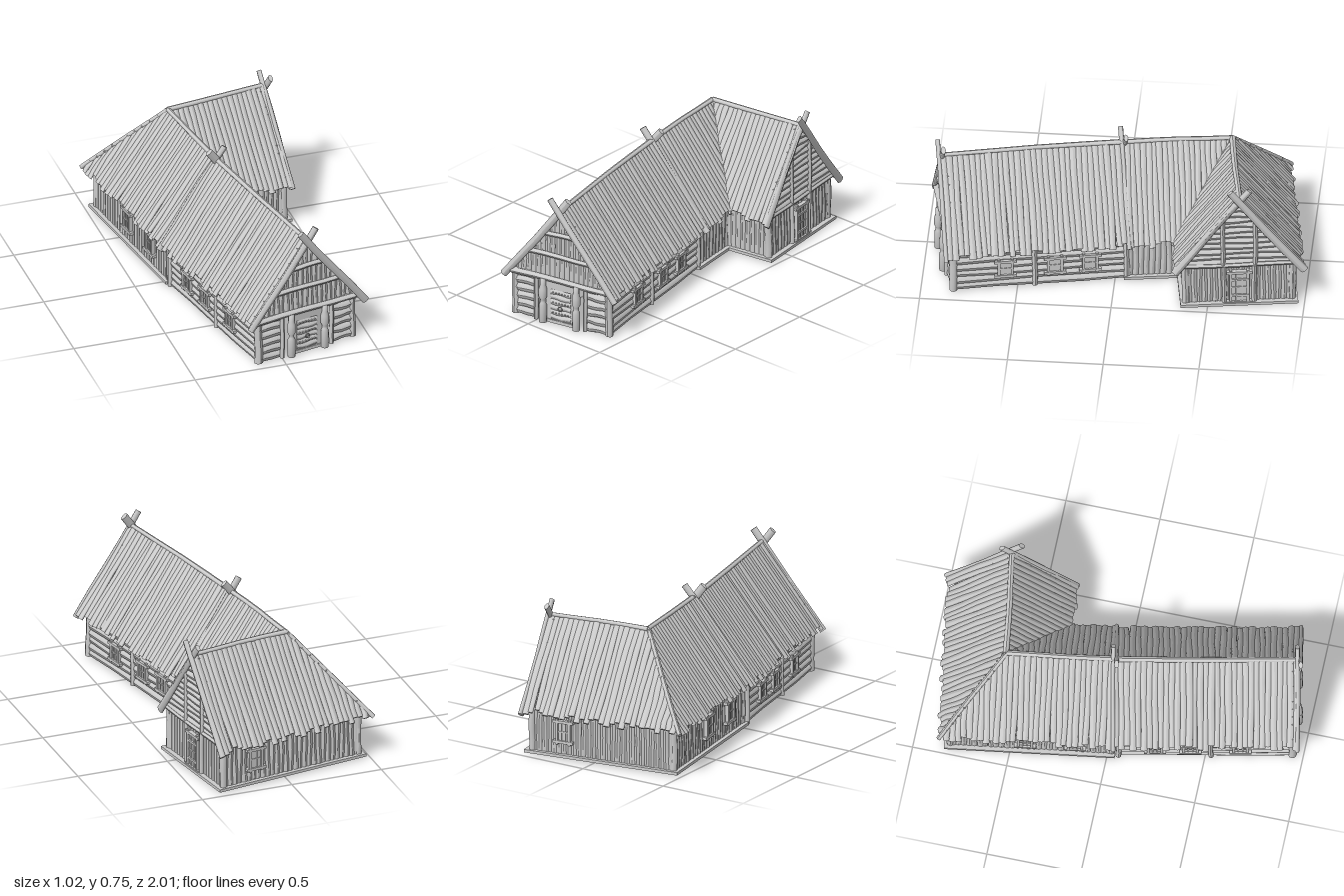
import * as THREE from 'three';
import { mergeGeometries } from 'three/addons/utils/BufferGeometryUtils.js';

const material = new THREE.MeshStandardMaterial({ color: 0xcccccc, side: THREE.DoubleSide });
const V = (x, y, z) => new THREE.Vector3(x, y, z);
const UP = V(0, 1, 0), OUT = V(0, 0, 1);
const RIDGE = 0.665, PITCH = 1.3, EAVE = 0.335, WALL = 0.275, TOP = 0.265;
const roofY = (s) => RIDGE - Math.abs(s) * PITCH;

let seed = 7;
const rand = (a, b) => {
  seed = (seed * 16807) % 2147483647;
  return a + (b - a) * (seed / 2147483647);
};

// Hewn timber from a to b: w across, t thick towards the hint, slightly bowed
function timber(a, b, w, t = w, hint = OUT, sides = 8) {
  const along = b.clone().sub(a), len = along.length();
  const g = new THREE.CylinderGeometry(rand(0.9, 1.05), rand(0.95, 1.1), len, sides, 4);
  g.scale(w / 2, 1, t / 2);
  const p = g.attributes.position, phase = rand(0, 6), amp = Math.min(0.003, w * 0.08);
  for (let i = 0; i < p.count; i++) {
    const k = Math.sin((p.getY(i) / len) * 6 + phase) * amp;
    p.setX(i, p.getX(i) + k);
    p.setZ(i, p.getZ(i) + k * 0.5);
  }
  g.computeVertexNormals();
  const y = along.normalize(), x = y.clone().cross(hint).normalize(), z = x.clone().cross(y);
  const m = new THREE.Matrix4().makeBasis(x, y, z);
  return g.applyMatrix4(m.setPosition(a.clone().add(b).multiplyScalar(0.5)));
}
const box = (w, h, d, x, y, z) => new THREE.BoxGeometry(w, h, d).translate(x, y, z);

// Group with one merged mesh per named part
function assemble(name, parts, x = 0, z = 0, turn = 0) {
  const group = new THREE.Group();
  group.name = name;
  group.position.set(x, 0, z);
  group.rotation.y = turn;
  for (const [part, geos] of Object.entries(parts)) {
    const mesh = new THREE.Mesh(mergeGeometries(geos), material);
    mesh.name = part;
    group.add(mesh);
  }
  return group;
}

// Roof boards down one slope; map(u, s, y) places them, top(u) is where each begins
function slope(u0, u1, map, top = () => 0) {
  const boards = [], n = Math.round((u1 - u0) / 0.029), step = (u1 - u0) / n;
  for (let i = 0; i < n; i++) {
    const u = u0 + (i + 0.5) * step, s0 = top(u), s1 = EAVE + rand(-0.014, 0.008);
    if (s1 - s0 < 0.02) continue;
    const lift = rand(-0.003, 0.004), skew = rand(-0.004, 0.004);
    boards.push(timber(map(u, s0, roofY(s0) + lift), map(u + skew, s1, roofY(s1) + lift),
      step * rand(1.15, 1.4), 0.018, UP));
  }
  return boards;
}

// Upright boards or lying logs of a wall facing +z
function uprights(x0, x1, y0, top) {
  const out = [], n = Math.max(1, Math.round((x1 - x0) / 0.028)), step = (x1 - x0) / n;
  for (let i = 0; i < n; i++) {
    const x = x0 + (i + 0.5) * step;
    if (top(x) - y0 > 0.01) out.push(timber(V(x, y0, 0), V(x, top(x), 0), step * 1.25, 0.024));
  }
  return out;
}
function lying(y0, y1, rows, span) {
  const out = [], step = (y1 - y0) / rows;
  for (let i = 0; i < rows; i++) {
    const y = y0 + (i + 0.5) * step, [a, b] = span(y);
    out.push(timber(V(a, y, 0), V(b, y, 0), step * 1.15, 0.036));
  }
  return out;
}

// Window frame with bars, showing on both faces of the wall
function windowFrame(x, y, w, h) {
  const out = [box(w, h, 0.042, x, y, 0)];
  for (const s of [-1, 1]) {
    out.push(box(0.014, h + 0.03, 0.06, x + s * w / 2, y, 0));
    out.push(box(w + 0.045, 0.015, 0.064, x, y + s * h / 2, 0));
    out.push(box(0.007, h, 0.05, x + s * w / 6, y, 0));
  }
  out.push(box(w, 0.007, 0.052, x, y, 0));
  return out;
}

// Crossed gable timbers
const crossed = () => [-1, 1].map((s) => timber(
  V(s * (EAVE + 0.003), 0.215, s * 0.008), V(-s * 0.052, 0.728, s * 0.008), 0.042, 0.026));

// Entrance gable with lying logs, pillars and a studded door
function entranceGable() {
  const beam = (y, half, d) => timber(V(-half, y, 0.02), V(half, y, 0.02), d);
  const parts = { wallLogs: [], cornerPosts: [], doorPosts: [], pillars: [], door: [], doorStuds: [] };
  const profile = [[0, 0], [0.02, 0], [0.021, 0.1], [0.014, 0.115], [0.014, 0.13], [0.022, 0.145],
    [0.022, 0.19], [0.015, 0.215], [0.015, 0.25], [0, 0.25]].map((p) => new THREE.Vector2(...p));
  for (const s of [-1, 1]) {
    parts.wallLogs.push(...lying(0, TOP, 6, () => [s * 0.14, s * WALL]));
    parts.cornerPosts.push(timber(V(s * 0.28, 0, 0), V(s * 0.28, 0.265, 0), 0.044));
    parts.doorPosts.push(timber(V(s * 0.147, 0, 0.02), V(s * 0.147, 0.25, 0.02), 0.024));
    parts.pillars.push(new THREE.LatheGeometry(profile, 12).translate(s * 0.1, 0, 0.033));
  }
  for (let i = 0; i < 6; i++) {
    const y = 0.034 + i * 0.029;
    parts.door.push(timber(V(-0.06, y, 0.012), V(0.06, y, 0.012), 0.034, 0.02));
    if (i % 2) for (let x = -0.045; x < 0.05; x += 0.018)
      parts.doorStuds.push(new THREE.SphereGeometry(0.0045, 6, 4).translate(x, y, 0.024));
  }
  parts.door.push(timber(V(-0.055, 0.022, 0.01), V(0.055, 0.022, 0.01), 0.02));
  parts.doorFrame = [box(0.2, 0.052, 0.026, 0, 0.222, 0.01), box(0.2, 0.018, 0.03, 0, 0.009, 0.008),
    ...[-1, 1].map((s) => box(0.03, 0.2, 0.024, s * 0.076, 0.1, 0.006))];
  parts.doorRing = [new THREE.TorusGeometry(0.012, 0.003, 6, 14).translate(0, 0.092, 0.028)];
  parts.gableBoards = uprights(-0.3, 0.3, 0.25, (x) => roofY(x) - 0.008);
  parts.gableBeams = [beam(0.25, 0.3, 0.03), beam(0.39, 0.2, 0.026), beam(0.515, 0.105, 0.026)];
  return parts;
}

// Side wing gable with upright boards, a plain door and lying logs above
function wingGable() {
  const parts = { wallBoards: uprights(-WALL, WALL, 0, () => 0.245) };
  parts.gableLogs = lying(0.245, 0.645, 12, (y) => {
    const h = (RIDGE - y) / PITCH - 0.004;
    return [-h, h];
  });
  parts.gableBeams = [timber(V(-0.31, 0.247, 0.012), V(0.31, 0.247, 0.012), 0.026)];
  parts.posts = [];
  for (const s of [-1, 1]) {
    parts.gableBeams.push(timber(V(s * 0.085, 0.25, 0.014), V(s * 0.085, 0.54, 0.014), 0.024));
    parts.posts.push(timber(V(s * 0.078, 0, 0.016), V(s * 0.078, 0.245, 0.016), 0.024));
    parts.posts.push(timber(V(s * 0.28, 0, 0), V(s * 0.28, 0.25, 0), 0.036));
  }
  parts.door = windowFrame(0, 0.11, 0.09, 0.19);
  parts.doorRails = [0.06, 0.16].map((y) => box(0.1, 0.012, 0.05, 0, y, 0.006));
  return parts;
}

export function createModel() {
  const model = new THREE.Group();
  model.name = 'logHouse';

  // Front hall
  const hallLen = 0.96;
  const hallRoof = { ridgeBeam: [timber(V(0, RIDGE + 0.004, -0.02), V(0, RIDGE + 0.004, hallLen), 0.03, 0.022, UP)], roofBoards: [] };
  for (const s of [-1, 1]) hallRoof.roofBoards.push(...slope(-0.01, hallLen, (u, d, y) => V(s * d, y, u)));
  const hall = assemble('frontHall', hallRoof, -0.048, -0.02, 0.204);
  for (const z of [0, hallLen]) hall.add(assemble('crossedTimbers', { timbers: crossed() }, 0, z));
  hall.add(assemble('entranceGable', entranceGable(), 0, 0.925));
  for (const s of [-1, 1]) {
    // Wall x runs along the hall, mirrored on the other side
    const x = (t) => -s * (t - 0.47);
    const parts = { wallLogs: lying(0, TOP + 0.01, 7, () => [-0.46, 0.46]), posts: [], windows: [] };
    for (const t of [0.02, 0.5]) parts.posts.push(timber(V(x(t), 0, 0.012), V(x(t), 0.265, 0.012), 0.028));
    for (const t of [0.21, 0.395, 0.655]) parts.windows.push(...windowFrame(x(t), 0.122, 0.07, 0.09));
    hall.add(assemble(s > 0 ? 'leftWall' : 'rightWall', parts, s * WALL, 0.47, s * Math.PI / 2));
  }
  model.add(hall);

  // Rear corner block: hip at the outer corner, valley at the inner one
  const L = 0.566, W = 0.565, hip = (u) => Math.max(0, -u), valley = (u) => -u;
  const R = RIDGE + 0.004;
  const cornerRoof = {
    ridgeBeams: [timber(V(0, R, 0), V(0, R, L), 0.03, 0.022, UP), timber(V(0, R, 0), V(W, R, 0), 0.03, 0.022, UP)],
    hipBeam: [timber(V(0, R, 0), V(-EAVE, roofY(EAVE) + 0.004, -EAVE), 0.024, 0.024, UP)],
    valleyBeam: [timber(V(0, RIDGE, 0), V(EAVE, roofY(EAVE), EAVE), 0.02, 0.02, UP)],
    roofBoards: [
      ...slope(-EAVE, L, (u, d, y) => V(-d, y, u), hip),
      ...slope(-EAVE, W, (u, d, y) => V(u, y, -d), hip),
    ],
  };
  // Inner slopes start at the ridge and stop at the valley
  const n = 20;
  for (let i = 0; i < n; i++) {
    const u = (i + 0.5) * (W / n), end = Math.min(u + 0.008, EAVE + rand(-0.014, 0.008));
    const lift = rand(-0.003, 0.004), w = (W / n) * rand(1.15, 1.4);
    for (const map of [(d) => V(d, roofY(d) + lift, u), (d) => V(u, roofY(d) + lift, d)])
      cornerRoof.roofBoards.push(timber(map(0), map(end), w, 0.018, UP));
  }
  // Ground sill round the L-shaped plan
  const G = 0.29, E = 0.555;
  const plan = [[-G, -G], [E, -G], [E, G], [G, G], [G, L], [-G, L]];
  cornerRoof.sill = plan.map(([x, z], i) => {
    const [x2, z2] = plan[(i + 1) % plan.length];
    return box(Math.abs(x2 - x) + 0.034, 0.016, Math.abs(z2 - z) + 0.034, (x + x2) / 2, 0.008, (z + z2) / 2);
  });
  const corner = assemble('cornerBlock', cornerRoof, -0.13, -0.58, 0.15);
  const boardWall = (name, len, x, z, turn, windows = []) => {
    const h = len / 2;
    const parts = { wallBoards: uprights(-h, h, 0, () => TOP + 0.01) };
    parts.posts = [-h, h].map((u) => timber(V(u, 0, 0), V(u, TOP, 0), 0.034));
    if (windows.length) parts.windows = windows.flatMap((u) => windowFrame(u, 0.14, 0.07, 0.11));
    corner.add(assemble(name, parts, x, z, turn));
  };
  const Q = Math.PI / 2, wx = W - 0.03;
  boardWall('rightWall', L + WALL, -WALL, (L - WALL) / 2, -Q, [-0.03, 0.23]);
  boardWall('backWall', wx + WALL, (wx - WALL) / 2, -WALL, Math.PI, [-0.22]);
  boardWall('wingFrontWall', wx - WALL, (wx + WALL) / 2, WALL, 0);
  boardWall('innerLeftWall', L - WALL, WALL, (L + WALL) / 2, Q);
  corner.add(assemble('wingGable', wingGable(), wx, 0, Q));
  corner.add(assemble('crossedTimbers', { timbers: crossed() }, W, 0, Q));
  model.add(corner);
  return model;
}
